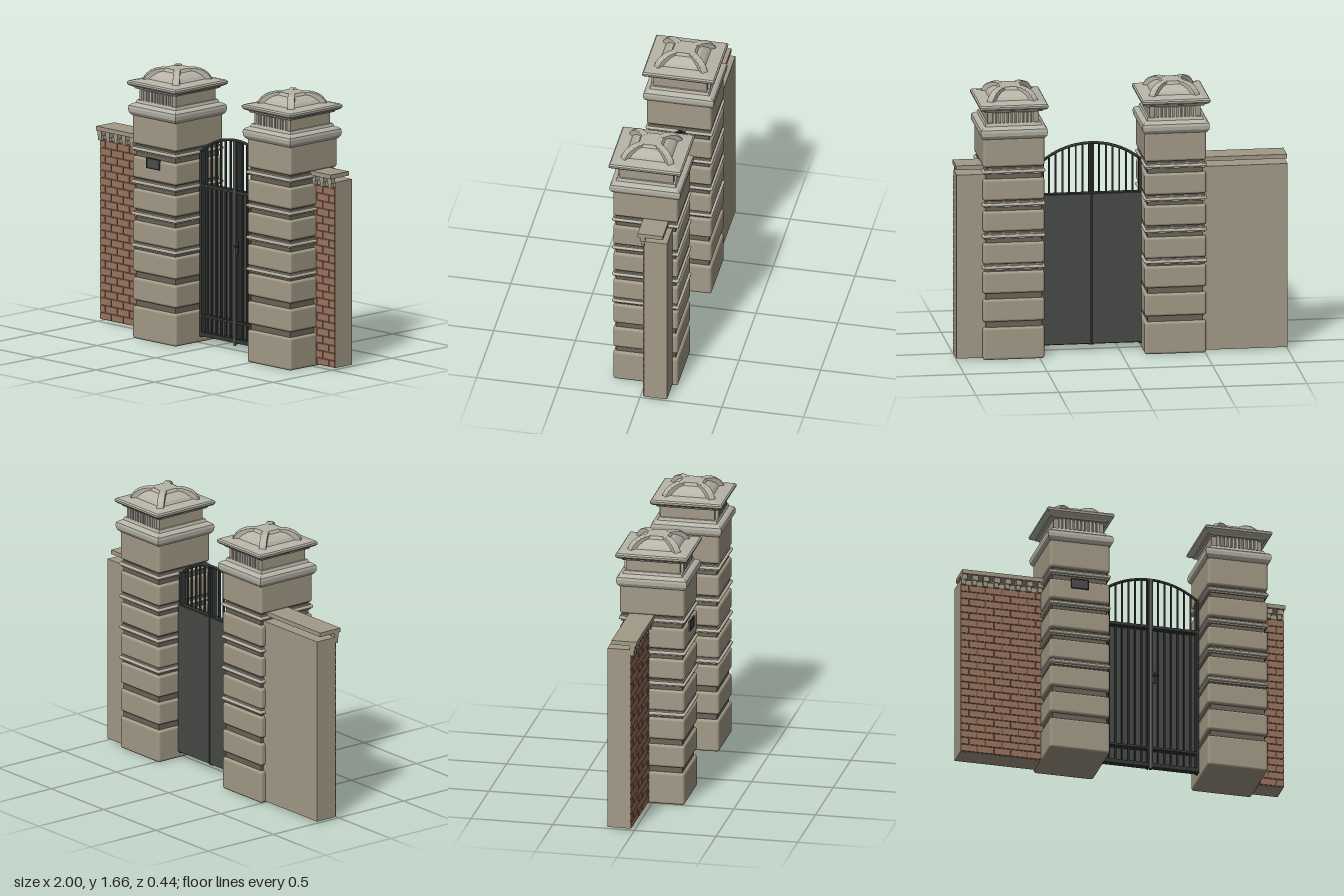
import * as THREE from 'three';
import { mergeGeometries } from 'three/addons/utils/BufferGeometryUtils.js';
import { RoundedBoxGeometry } from 'three/addons/geometries/RoundedBoxGeometry.js';

const mat = (name, color) => {
  const m = new THREE.MeshStandardMaterial({ color });
  m.name = name;
  return m;
};
const stone = mat('warm stone', 0xa39a87);
const capStone = mat('pale stone', 0xb7b4a7);
const joint = mat('dark joint', 0x6a6558);
const brick = mat('brick', 0x9c745f);
const mortar = mat('mortar', 0x5c4a40);
const panel = mat('gate panel', 0x474a46);
const iron = mat('iron', 0x343835);
const steel = mat('steel', 0x696b67);
const plaqueGrey = mat('plaque grey', 0x4c4c4a);

const DEPTH = 1.067; // pillar depth relative to its width

function add(parent, name, geometry, material, x = 0, y = 0, z = 0) {
  const m = new THREE.Mesh(geometry, material);
  m.name = name;
  m.position.set(x, y, z);
  parent.add(m);
  return m;
}

// box given by its limits
function span(x0, x1, y0, y1, z0, z1) {
  return new THREE.BoxGeometry(x1 - x0, y1 - y0, z1 - z0)
    .translate((x0 + x1) / 2, (y0 + y1) / 2, (z0 + z1) / 2);
}

// square moulding from [half width, height] points, bottom to top
function moulding(points) {
  const pts = points.map(([h, y]) => new THREE.Vector2(h * Math.SQRT2, y));
  const g = new THREE.LatheGeometry(pts, 4).rotateY(Math.PI / 4).scale(1, 1, DEPTH).toNonIndexed();
  g.computeVertexNormals();
  return g;
}

function pillar(name, x) {
  const p = new THREE.Group();
  p.name = name;
  p.position.x = x;
  add(p, 'core', span(-0.168, 0.168, 0.02, 1.4, -0.182, 0.182), joint);

  // rusticated blocks
  const blocks = [[0, 0.2], [0.235, 0.375], [0.41, 0.545], [0.592, 0.723],
    [0.793, 0.92], [0.985, 1.118], [1.192, 1.375]];
  for (const [y0, y1] of blocks) {
    add(p, 'block', new RoundedBoxGeometry(0.372, y1 - y0, 0.397, 2, 0.016), stone, 0, (y0 + y1) / 2);
  }
  // beads between the upper blocks
  for (const y of [0.572, 0.765, 0.96, 1.164]) {
    add(p, 'bead', new RoundedBoxGeometry(0.38, 0.018, 0.408, 2, 0.008), capStone, 0, y);
    add(p, 'beadFillet', new THREE.BoxGeometry(0.355, 0.036, 0.382), stone, 0, y);
  }

  // cornice, fluted neck and cap slab
  add(p, 'cornice', moulding([[0.18, 1.362], [0.192, 1.372], [0.201, 1.388], [0.203, 1.41],
    [0.2, 1.425], [0.188, 1.436], [0.172, 1.442], [0.166, 1.46], [0.15, 1.46]]), capStone);
  add(p, 'neck', moulding([[0.155, 1.45], [0.155, 1.54]]), stone);
  const flutes = [];
  for (const s of [-1, 1]) {
    for (let i = 0; i < 11; i++) {
      flutes.push(new THREE.BoxGeometry(0.014, 0.064, 0.016).translate((i - 5) * 0.0235, 1.492, s * 0.172));
    }
  }
  add(p, 'flutes', mergeGeometries(flutes), capStone);
  add(p, 'capSlab', moulding([[0.15, 1.522], [0.172, 1.528], [0.178, 1.538], [0.196, 1.546],
    [0.206, 1.556], [0.207, 1.568], [0.2, 1.577], [0.14, 1.588], [0, 1.588]]), capStone);

  // domed crown with four corner ribs
  add(p, 'crown', moulding([[0.135, 1.58], [0.118, 1.607], [0.092, 1.63], [0.072, 1.637],
    [0.062, 1.655], [0, 1.655]]), capStone);
  const shape = new THREE.Shape();
  shape.moveTo(0.06, 1.575);
  shape.lineTo(0.212, 1.575);
  shape.quadraticCurveTo(0.188, 1.645, 0.105, 1.656);
  shape.lineTo(0.06, 1.656);
  const rib = new THREE.ExtrudeGeometry(shape, { depth: 0.03, bevelEnabled: true,
    bevelSize: 0.004, bevelThickness: 0.006, bevelOffset: -0.004, bevelSegments: 1, curveSegments: 5 })
    .translate(0, 0, -0.015);
  for (const sx of [-1, 1]) for (const sz of [-1, 1]) {
    add(p, 'rib', rib, capStone).rotation.y = -Math.atan2(sz * 0.15, sx * 0.14);
  }
  return p;
}

function wall(name, x0, x1) {
  const w = new THREE.Group();
  w.name = name;
  add(w, 'wallBody', span(x0, x1, 0.01, 1.145, -0.165, -0.026), stone);
  add(w, 'mortarFace', span(x0, x1, 0.012, 1.115, -0.026, -0.023), mortar);

  // running-bond brick facing
  const bricks = [], rows = 24, h = 1.1 / rows, len = 0.103;
  for (let r = 0; r < rows; r++) {
    for (let x = -1 - (r % 2) * len / 2; x < x1; x += len) {
      const a = Math.max(x, x0), b = Math.min(x + len - 0.008, x1);
      if (b - a > 0.004) bricks.push(span(a, b, 0.014 + r * h, 0.014 + (r + 1) * h - 0.009, -0.025, -0.018));
    }
  }
  add(w, 'bricks', mergeGeometries(bricks), brick);

  // stepped dentils under the coping
  const dentils = [];
  for (let x = -1; x < x1 - 0.01; x += 0.0675) {
    if (x < x0 - 0.01) continue;
    dentils.push(span(x, Math.min(x + 0.036, x1), 1.138, 1.175, -0.03, 0.002));
    dentils.push(span(x, Math.min(x + 0.027, x1), 1.108, 1.138, -0.03, -0.004));
  }
  add(w, 'dentils', mergeGeometries(dentils), stone);
  add(w, 'coping', span(x0, x1, 1.17, 1.196, -0.14, 0.014), stone);
  return w;
}

function gate() {
  const g = new THREE.Group();
  g.name = 'gate';
  const mid = 0.168, half = 0.302, top = 1.278, R = 0.464;
  const archY = (x) => top - R + Math.sqrt(R * R - (x - mid) ** 2);

  // arched top rail
  const a = Math.asin(half / R);
  add(g, 'archRail', new THREE.TorusGeometry(R, 0.009, 6, 32, 2 * a)
    .rotateZ(Math.PI / 2 - a), iron, mid, top - R, -0.015);

  for (const s of [-1, 1]) {
    const leaf = new THREE.Group();
    leaf.name = s < 0 ? 'rightLeaf' : 'leftLeaf';
    g.add(leaf);
    const box = (name, u0, u1, y0, y1, z0, z1, m) => {
      const e = [mid + s * u0, mid + s * u1].sort((p, q) => p - q);
      add(leaf, name, span(e[0], e[1], y0, y1, z0, z1), m);
    };
    box('sheet', 0.004, half, 0.045, 0.97, -0.052, -0.042, panel);
    box('hingeStile', half - 0.016, half, 0.035, 1.175, -0.042, -0.002, iron);
    box('meetingStile', 0.004, 0.016, 0.035, archY(mid + 0.01), -0.042, -0.002, iron);
    for (const [y, h] of [[0.04, 0.026], [0.158, 0.014], [0.955, 0.018]]) {
      box('rail', 0.004, half, y, y + h, -0.042, -0.004, iron);
    }
    for (let i = 1; i <= 6; i++) {
      const u = 0.01 + i * 0.0405;
      box('bar', u - 0.005, u + 0.005, 0.05, archY(mid + u), -0.022, -0.01, iron);
    }
  }
  // strip covering the joint of the leaves, and the latch
  add(g, 'coverStrip', span(mid - 0.007, mid + 0.007, 0.025, top, -0.006, 0.004), steel);
  add(g, 'lockPlate', span(0.178, 0.2, 0.59, 0.665, -0.004, 0.004), iron);
  add(g, 'handle', span(0.182, 0.212, 0.632, 0.642, 0.012, 0.02), iron);
  add(g, 'handleStem', span(0.182, 0.191, 0.632, 0.642, 0, 0.014), iron);
  return g;
}

export function createModel() {
  const model = new THREE.Group();
  model.name = 'gateway';
  model.add(pillar('rightPillar', -0.32), pillar('leftPillar', 0.658));
  model.add(wall('rightWall', -1, -0.46), wall('leftWall', 0.8, 1));
  model.add(gate());

  // blank plaque with raised rim
  const plaque = new THREE.Group();
  plaque.name = 'plaque';
  add(plaque, 'plaqueBoard', span(-0.377, -0.267, 1.062, 1.125, 0.196, 0.204), plaqueGrey);
  for (const y of [1.062, 1.12]) add(plaque, 'plaqueRim', span(-0.377, -0.267, y, y + 0.005, 0.2, 0.208), iron);
  for (const x of [-0.377, -0.272]) add(plaque, 'plaqueRim', span(x, x + 0.005, 1.062, 1.125, 0.2, 0.208), iron);
  model.add(plaque);
  return model;
}
